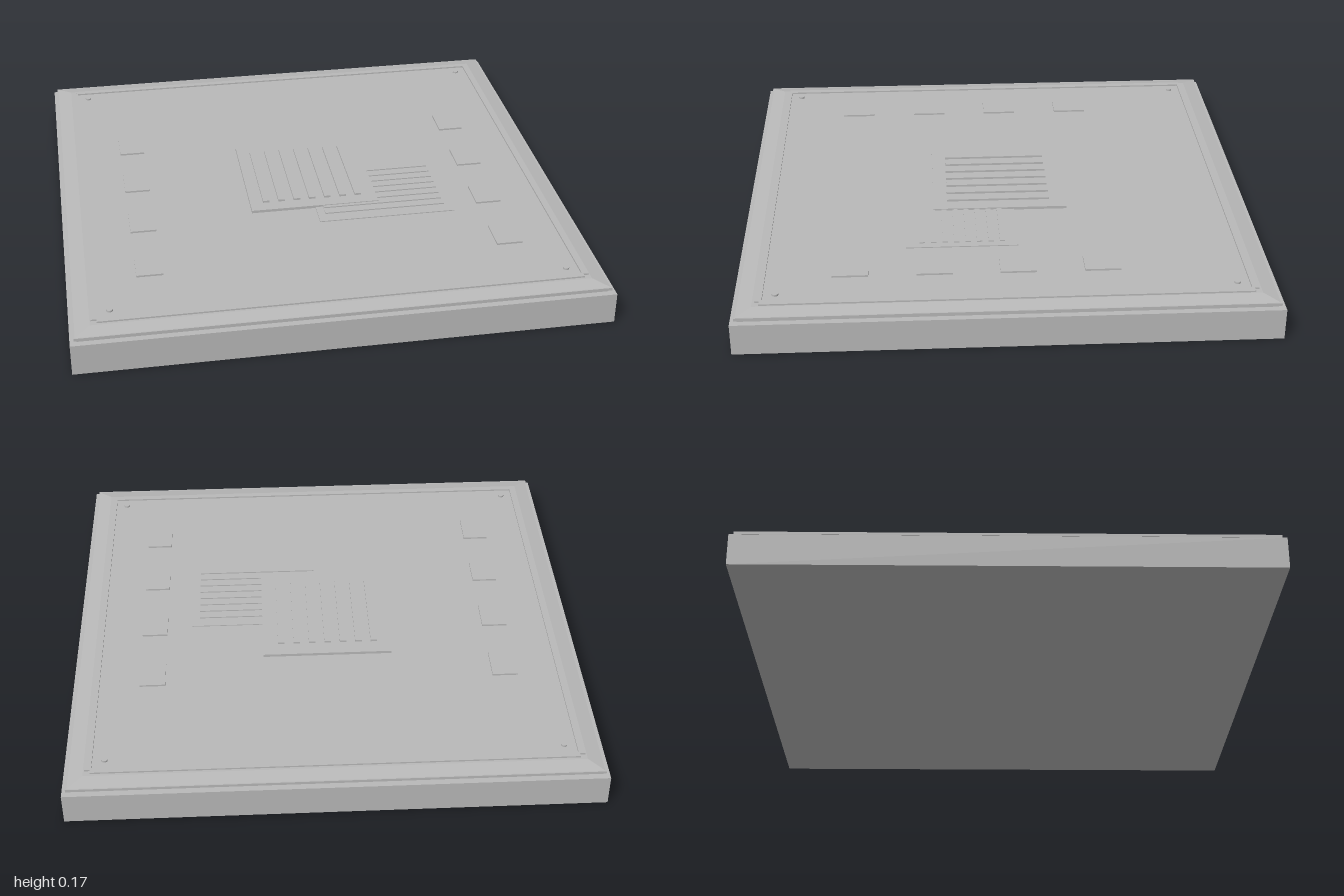
import * as THREE from 'three';

export function createModel() {
  const model = new THREE.Group();
  const grey = new THREE.MeshStandardMaterial({ color: 0xb8b8b8 });
  grey.name = 'grey metal';

  const add = (name, geometry, x, y, z, parent = model) => {
    const mesh = new THREE.Mesh(geometry, grey);
    mesh.name = name;
    mesh.position.set(x, y, z);
    parent.add(mesh);
    return mesh;
  };
  // Box given by its centre in x and z and its bottom and top heights
  const slab = (name, w, d, y0, y1, x = 0, z = 0, parent = model) =>
    add(name, new THREE.BoxGeometry(w, y1 - y0, d), x, (y0 + y1) / 2, z, parent);
  // Square block with sloping sides
  const taper = (name, half0, half1, y0, y1) => {
    let g = new THREE.CylinderGeometry(half1 * Math.SQRT2, half0 * Math.SQRT2, y1 - y0, 4);
    g.rotateY(Math.PI / 4);
    g = g.toNonIndexed();
    g.computeVertexNormals();
    return add(name, g, 0, (y0 + y1) / 2, 0);
  };
  const group = (name) => {
    const g = new THREE.Group();
    g.name = name;
    model.add(g);
    return g;
  };

  // Base, shadow gap and lid
  slab('base', 2, 2, 0, 0.122);
  slab('shadowGap', 1.95, 1.95, 0.122, 0.131);
  slab('lidRim', 1.97, 1.97, 0.131, 0.142);
  taper('lidPanel', 0.98, 0.925, 0.142, 0.152);

  // Edge rails, open at the corners
  const rails = group('edgeRails');
  for (const s of [-1, 1]) {
    slab('sideRail', 0.025, 1.8, 0.148, 0.158, s * 0.908, 0, rails);
    slab('endRail', 1.8, 0.025, 0.148, 0.158, 0, s * 0.903, rails);
  }

  // Corner studs
  const studs = group('cornerStuds');
  for (const x of [-0.85, 0.85])
    for (const z of [-0.845, 0.845])
      add('stud', new THREE.CylinderGeometry(0.012, 0.012, 0.01, 12), x, 0.154, z, studs);

  // Two rows of raised pads
  const pads = group('pads');
  for (const x of [-0.69, 0.69])
    for (const z of [-0.363, -0.047, 0.265, 0.578])
      slab('pad', 0.1, 0.135, 0.15, 0.159, x, z, pads);

  // Main vent with slats running front to back
  const mainVent = group('mainVent');
  slab('ventPlate', 0.51, 0.53, 0.15, 0.163, 0, -0.005, mainVent);
  for (let i = -3; i <= 3; i++)
    slab('ventSlat', 0.026, 0.41, 0.162, 0.171, i * 0.062 - 0.004, 0, mainVent);

  // Lower vent beside it with slats running sideways
  const lowerVent = group('lowerVent');
  slab('ventPlate', 0.54, 0.43, 0.15, 0.1555, 0.27, 0.155, lowerVent);
  for (let i = 0; i < 8; i++)
    slab('ventSlat', 0.48, 0.02, 0.155, 0.16, 0.27, i * 0.044, lowerVent);

  return model;
}
